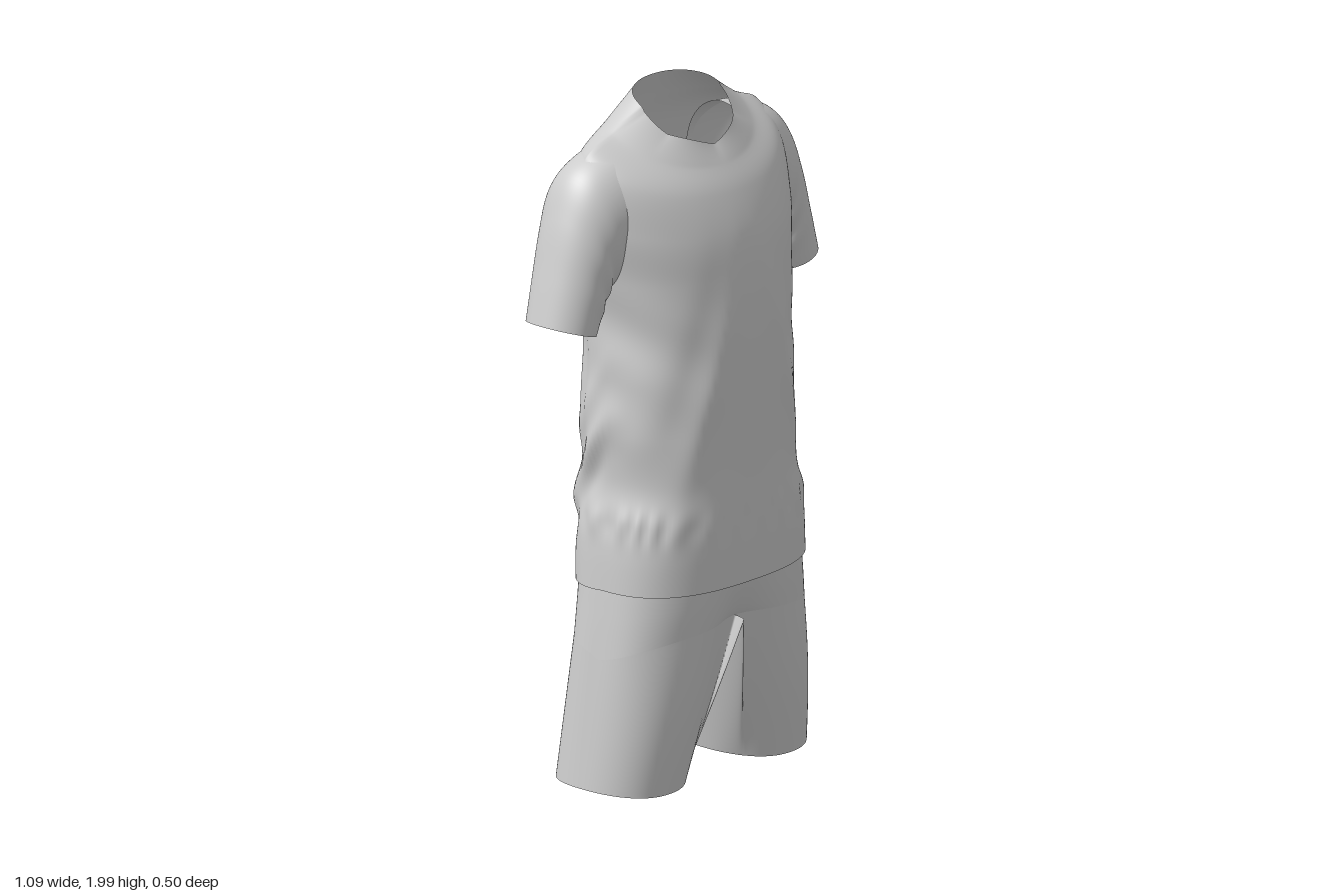
import * as THREE from 'three';

const fabric = new THREE.MeshStandardMaterial({ color: 0xcccccc, side: THREE.DoubleSide });
fabric.name = 'light grey fabric';

const SEG = 120;
const bell = (v, w) => Math.exp(-(v * v) / (w * w));
const spow = (v, p) => Math.sign(v) * Math.pow(Math.abs(v), p);

// Smooth interpolation through rows of numbers, t from 0 to 1
function sample(rows, t) {
  const f = t * (rows.length - 1);
  const i = Math.min(Math.floor(f), rows.length - 2);
  const u = f - i;
  const at = k => rows[Math.max(0, Math.min(rows.length - 1, k))];
  return rows[i].map((b, k) => {
    const a = at(i - 1)[k], c = at(i + 1)[k], d = at(i + 2)[k];
    return b + 0.5 * u * (c - a + u * (2 * a - 5 * b + 4 * c - d + u * (3 * (b - c) + d - a)));
  });
}

// Open tube from point(a, t): a runs round the ring, t along the tube
function loft(name, rings, point) {
  const pos = [], index = [];
  for (let j = 0; j <= rings; j++) {
    for (let i = 0; i < SEG; i++) {
      pos.push(...point(i / SEG * Math.PI * 2, j / rings));
      if (j === rings) continue;
      const a = j * SEG + i, b = j * SEG + (i + 1) % SEG;
      index.push(a, b, a + SEG, b, b + SEG, a + SEG);
    }
  }
  const g = new THREE.BufferGeometry();
  g.setAttribute('position', new THREE.Float32BufferAttribute(pos, 3));
  g.setIndex(index);
  g.computeVertexNormals();
  const mesh = new THREE.Mesh(g, fabric);
  mesh.name = name;
  return mesh;
}

// Ring point; a = 0 is the front, a = PI / 2 the left side
function body([yf, ys, yb, rx, zf, zb, zc, n], a, vee = 0) {
  const s = Math.sin(a), c = Math.cos(a), m = Math.abs(c);
  const round = c > 0 ? m : Math.sqrt(m);
  const point = c > 0 ? Math.min(m, 1 - 0.55 * Math.abs(s)) : round;
  const lift = THREE.MathUtils.lerp(round, point, vee);
  return [
    rx * spow(s, 2 / n),
    ys + ((c > 0 ? yf : yb) - ys) * lift,
    zc + (c > 0 ? zf - zc : zc - zb) * spow(c, 2 / n),
  ];
}

// Front y, side y, back y, half width, front z, back z, middle z, squareness
const torsoRows = [
  [0.60, 0.60, 0.59, 0.358, 0.250, -0.220, 0.00, 2.6],
  [0.70, 0.70, 0.70, 0.350, 0.253, -0.228, 0.00, 2.6],
  [0.80, 0.80, 0.80, 0.337, 0.252, -0.232, 0.00, 2.6],
  [0.90, 0.90, 0.90, 0.313, 0.250, -0.232, 0.00, 2.5],
  [1.05, 1.05, 1.05, 0.322, 0.250, -0.238, 0.00, 2.4],
  [1.20, 1.20, 1.20, 0.312, 0.254, -0.242, 0.00, 2.4],
  [1.35, 1.35, 1.35, 0.303, 0.254, -0.246, -0.01, 2.4],
  [1.50, 1.50, 1.50, 0.325, 0.245, -0.248, -0.03, 2.3],
  [1.62, 1.68, 1.65, 0.365, 0.225, -0.240, -0.06, 2.15],
  [1.73, 1.848, 1.82, 0.360, 0.182, -0.206, -0.06, 2.05],
  [1.80, 1.908, 1.92, 0.250, 0.137, -0.173, -0.05, 2.05],
  [1.85, 1.955, 2.00, 0.157, 0.100, -0.140, -0.02, 2.1],
];

function torsoPoint(a, t) {
  const p = body(sample(torsoRows, t), a, Math.max(0, t * 11 - 10));
  const c = Math.cos(a), s = Math.sin(a), y = p[1];
  const back = Math.max(0, -c), front = Math.max(0, c);
  let d = 0;
  // Draped roll sweeping from the sides down round the back
  const rollY = 0.76 + 0.34 * Math.pow(1 - back, 1.3);
  const rollSize = THREE.MathUtils.smoothstep(-c, -0.25, 0.35);
  d += rollSize * (0.018 * bell(y - rollY, 0.05) - 0.007 * bell(y - rollY + 0.1, 0.05));
  d += 0.006 * rollSize * bell(y - rollY - 0.17, 0.05);
  // Hanging folds on the back
  d += 0.006 * back * Math.sin(17 * a + 2 * y) * bell(y - 1.15, 0.32);
  // Slanting folds from the chest to the hips
  const slant = Math.abs(p[0]) - 0.08 - 0.28 * (1.45 - y);
  d += front * (0.009 * bell(slant, 0.035) - 0.008 * bell(slant - 0.08, 0.04)) * bell(y - 1.15, 0.3);
  // Gathers at the sides and waist
  d += 0.003 * Math.abs(s) * Math.sin(26 * y + 4 * c) * bell(y - 1.3, 0.2);
  d += 0.007 * Math.sin(24 * a + 2 * Math.sin(5 * a)) * bell(y - 0.79, 0.04) * (1 - back) * (0.3 + 0.7 * s * s);
  return [p[0] + d * s, y, p[2] + d * c];
}

// Outer x, outer y, inner x, inner y, half depth, middle z
const sleeveRows = [
  [0.20, 1.890, 0.20, 1.56, 0.135, -0.055],
  [0.31, 1.870, 0.27, 1.51, 0.142, -0.062],
  [0.405, 1.815, 0.31, 1.47, 0.135, -0.066],
  [0.462, 1.70, 0.335, 1.435, 0.123, -0.064],
  [0.507, 1.55, 0.352, 1.395, 0.115, -0.062],
  [0.545, 1.41, 0.372, 1.355, 0.108, -0.060],
];

function sleeve(name, side) {
  return loft(name, 40, (a, t) => {
    const [ox, oy, ix, iy, rz, zc] = sample(sleeveRows, t);
    const k = 0.5 + 0.5 * Math.sin(a);
    // Creases gathered at the underarm
    const crease = 0.004 * (1 - k) * Math.sin(34 * t) * bell(t - 0.55, 0.25);
    return [
      side * (ix + (ox - ix) * k - crease),
      iy + (oy - iy) * k,
      zc - side * (rz + crease) * Math.cos(a),
    ];
  });
}

// Hips run from the waist down to the saddle where the legs divide
const hipRows = [
  [0.78, 0.78, 0.78, 0.315, 0.225, -0.205, 0.00, 2.6],
  [0.66, 0.66, 0.66, 0.342, 0.236, -0.210, 0.00, 2.6],
  [0.56, 0.53, 0.54, 0.360, 0.234, -0.209, 0.00, 2.6],
  [0.48, 0.40, 0.45, 0.375, 0.226, -0.208, 0.00, 2.6],
];

// The cloth sinks in along the centre line towards the crotch
function hipPoint(a, t) {
  const p = body(sample(hipRows, t), a);
  p[2] *= 1 - 0.22 * t * t * bell(p[0], 0.1);
  return p;
}

function leg(name, side) {
  return loft(name, 30, (a, t) => {
    const s = Math.sin(a), c = Math.cos(a);
    const top = hipPoint(a, 1);
    if (s < 0) {
      // Inside of the leg starts on the saddle curve
      top[0] = 0;
      top[1] = 0.40 + ((c > 0 ? 0.48 : 0.45) - 0.40) * c * c;
    }
    // The centre seam runs down to the inner corners of the hem
    const spread = 0.85;
    const b = a <= Math.PI
      ? -spread + a * (1 + 2 * spread / Math.PI)
      : Math.PI + spread + (a - Math.PI) * (1 - 2 * spread / Math.PI);
    const sb = Math.sin(b), cb = Math.cos(b);
    const hem = [0.25 + 0.162 * spow(sb, 0.9), 0.01 + 0.012 * sb * sb, -0.025 + 0.186 * spow(cb, 0.9)];
    const p = top.map((v, k) => v + (hem[k] - v) * t);
    // Slight fullness in front
    const full = 0.012 * Math.sin(Math.PI * t) * Math.max(0, cb);
    return [side * p[0], p[1], p[2] + full];
  });
}

// Reverse the faces of mirrored parts so they point outward
function flip(mesh) {
  const idx = mesh.geometry.index.array;
  for (let i = 0; i < idx.length; i += 3) [idx[i], idx[i + 1]] = [idx[i + 1], idx[i]];
  mesh.geometry.computeVertexNormals();
  return mesh;
}

export function createModel() {
  const model = new THREE.Group();
  model.name = 'sportsKit';

  const shirt = new THREE.Group();
  shirt.name = 'shirt';
  shirt.add(loft('shirtBody', 150, torsoPoint));
  shirt.add(flip(sleeve('leftSleeve', 1)), flip(sleeve('rightSleeve', -1)));

  const shorts = new THREE.Group();
  shorts.name = 'shorts';
  shorts.add(flip(loft('hips', 30, hipPoint)));
  shorts.add(flip(leg('leftLeg', 1)), leg('rightLeg', -1));

  model.add(shirt, shorts);
  return model;
}
